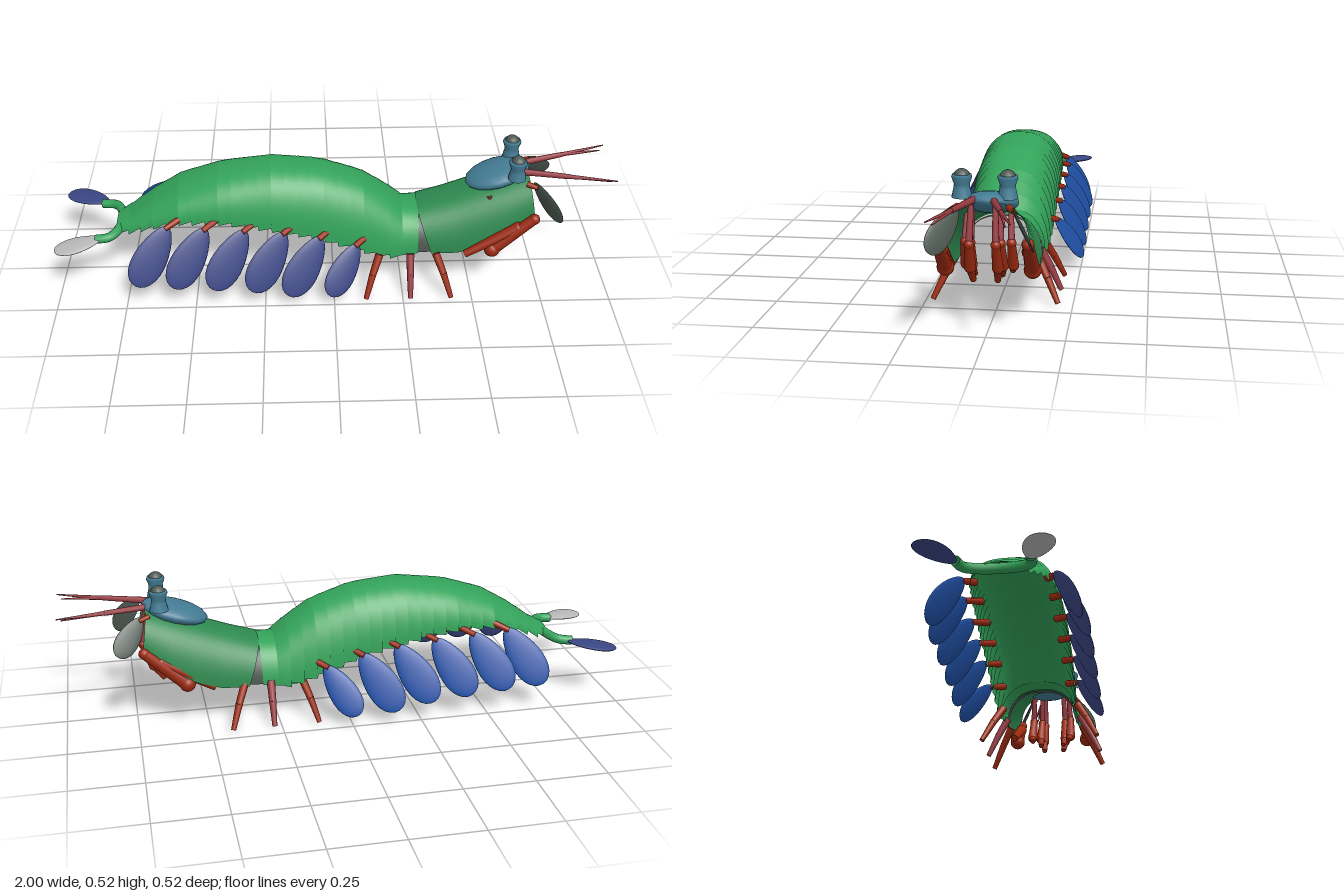
import * as THREE from 'three';

const mat = (name, color) => {
  const m = new THREE.MeshStandardMaterial({ color });
  m.name = name;
  return m;
};
const V = (x, y, z) => new THREE.Vector3(x, y, z);

export function createModel() {
  const model = new THREE.Group();
  const bodyGreen = mat('bodyGreen', 0x33a35a);
  const headGreen = mat('headGreen', 0x2e8a50);
  const darkGrey = mat('darkGrey', 0x4c5850);
  const brightBlue = mat('brightBlue', 0x2050a5);
  const dullBlue = mat('dullBlue', 0x3a4684);
  const paleGrey = mat('paleGrey', 0xb8b8b8);
  const teal = mat('teal', 0x437c94);
  const clawRed = mat('clawRed', 0x9c2a10);
  const maroon = mat('maroon', 0x963a40);
  [bodyGreen, headGreen, darkGrey].forEach((m) => { m.side = THREE.DoubleSide; });

  const add = (name, geo, material) => {
    const mesh = new THREE.Mesh(geo, material);
    mesh.name = name;
    model.add(mesh);
    return mesh;
  };
  // tapered rod from a to b
  const rod = (name, a, b, ra, rb, material) => {
    const d = b.clone().sub(a);
    const m = add(name, new THREE.CylinderGeometry(rb, ra, d.length(), 10), material);
    m.position.copy(a).addScaledVector(d, 0.5);
    m.quaternion.setFromUnitVectors(V(0, 1, 0), d.normalize());
    return m;
  };
  const ball = (name, p, r, material, scale = [1, 1, 1]) => {
    const m = add(name, new THREE.SphereGeometry(r, 16, 12), material);
    m.position.copy(p);
    m.scale.set(...scale);
    return m;
  };
  // flat pear-shaped leaf, broader near the tip
  const leaf = (name, base, tip, wide, halfWidth, thick, material) => {
    const geo = new THREE.SphereGeometry(1, 20, 14);
    const p = geo.attributes.position;
    for (let i = 0; i < p.count; i++) p.setX(i, p.getX(i) * (1 + 0.25 * p.getY(i)));
    const along = tip.clone().sub(base);
    const half = along.length() / 2;
    along.normalize();
    const x = wide.clone().addScaledVector(along, -wide.dot(along)).normalize();
    const n = x.clone().cross(along);
    const mtx = new THREE.Matrix4().makeBasis(
      x.multiplyScalar(halfWidth), along.multiplyScalar(half), n.multiplyScalar(thick));
    mtx.setPosition(base.clone().add(tip).multiplyScalar(0.5));
    geo.applyMatrix4(mtx);
    geo.computeVertexNormals();
    return add(name, geo, material);
  };
  // arched half-shell lofted over sections [topX, topY, bottomX, bottomY, halfWidth]
  const shell = (name, sections, material) => {
    const N = 24, pos = [], idx = [];
    sections.forEach(([tx, ty, bx, by, w], r) => {
      for (let j = 0; j <= N; j++) {
        const t = (j / N) * Math.PI, c = Math.cos(t);
        const s = Math.pow(Math.max(0, Math.sin(t)), 0.95);
        pos.push(bx + (tx - bx) * s, by + (ty - by) * s, w * Math.sign(c) * Math.pow(Math.abs(c), 0.8));
        if (r && j < N) {
          const a = (r - 1) * (N + 1) + j, b = a + N + 1;
          idx.push(a, b, a + 1, b, b + 1, a + 1);
        }
      }
    });
    const geo = new THREE.BufferGeometry();
    geo.setAttribute('position', new THREE.Float32BufferAttribute(pos, 3));
    geo.setIndex(idx);
    geo.computeVertexNormals();
    return add(name, geo, material);
  };

  // abdomen: overlapping bands along a humped back
  const keys = [
    [-0.79, 0.235, 0.205, 0.06], [-0.74, 0.26, 0.22, 0.085], [-0.66, 0.32, 0.255, 0.11],
    [-0.55, 0.385, 0.29, 0.135], [-0.4, 0.435, 0.295, 0.147], [-0.22, 0.46, 0.265, 0.153],
    [-0.05, 0.445, 0.225, 0.153], [0.1, 0.395, 0.165, 0.15], [0.19, 0.335, 0.135, 0.145], [0.25, 0.285, 0.13, 0.14],
  ];
  const at = (x) => {
    let i = 0;
    while (i < keys.length - 2 && x > keys[i + 1][0]) i++;
    const a = keys[i], b = keys[i + 1], f = (x - a[0]) / (b[0] - a[0]);
    return a.map((v, k) => v + (b[k] - v) * f);
  };
  const bands = [], count = 22, step = 1.04 / count;
  for (let i = 0; i < count; i++) {
    const x0 = -0.79 + i * step;
    const [, t0, b0, w0] = at(x0), [, t1, b1, w1] = at(x0 + step);
    bands.push([x0 + 0.002, t0, x0 + 0.002, b0 - 0.008, w0 + 0.004]);
    bands.push([x0 + step, t1, x0 + step, b1 + 0.006, w1 - 0.002]);
  }
  shell('abdomen', bands, bodyGreen);

  // neck, joint and carapace
  shell('neck', [[0.24, 0.285, 0.17, 0.135, 0.136], [0.27, 0.28, 0.24, 0.13, 0.135],
    [0.31, 0.282, 0.305, 0.14, 0.136]], bodyGreen);
  shell('neckJoint', [[0.30, 0.275, 0.30, 0.142, 0.134], [0.32, 0.275, 0.36, 0.145, 0.134]], darkGrey);
  shell('carapace', [[0.305, 0.285, 0.355, 0.14, 0.14], [0.4, 0.315, 0.45, 0.145, 0.144],
    [0.5, 0.352, 0.54, 0.175, 0.145], [0.6, 0.39, 0.63, 0.225, 0.142],
    [0.7, 0.425, 0.72, 0.3, 0.132]], headGreen);

  // head shield
  ball('headShield', V(0.595, 0.396, 0), 1, teal, [0.12, 0.036, 0.088]).rotation.z = 0.3;

  // paddles along both sides, with their stalks
  const paddleX = [-0.59, -0.455, -0.315, -0.175, -0.045, 0.085];
  const paddleY = [0.285, 0.285, 0.275, 0.262, 0.24, 0.205];
  paddleX.forEach((x, i) => {
    for (const s of [1, -1]) {
      const y = paddleY[i], z = i === 0 ? 0.145 : 0.16;
      const size = i === 5 ? 0.84 : 1;
      leaf('paddle', V(x, y, s * z), V(x - 0.12 * size, y - 0.19 * size, s * (z + 0.1)),
        V(0.19, -0.12, 0), 0.06 * size, 0.01, s > 0 ? dullBlue : brightBlue);
      rod('paddleStalk', V(x + 0.05, y + 0.02, s * 0.12), V(x - 0.01, y - 0.005, s * (z + 0.008)), 0.013, 0.01, clawRed);
    }
  });

  // tail fork and fan leaves
  const fork = new THREE.CatmullRomCurve3([V(-0.86, 0.205, 0.105), V(-0.81, 0.21, 0.1),
    V(-0.78, 0.217, 0.06), V(-0.77, 0.22, 0), V(-0.78, 0.217, -0.06),
    V(-0.81, 0.21, -0.11), V(-0.86, 0.205, -0.125)]);
  add('tailFork', new THREE.TubeGeometry(fork, 32, 0.017, 10), bodyGreen);
  leaf('leftTailLeaf', V(-0.84, 0.208, 0.1), V(-1, 0.195, 0.165), V(0.35, 0, 1), 0.046, 0.01, paleGrey);
  leaf('rightTailLeaf', V(-0.84, 0.208, -0.13), V(-1, 0.198, -0.215), V(0.45, 0, -1), 0.046, 0.01, dullBlue);

  const off = 0.013;
  for (const s of [1, -1]) {
    const z = (v) => off + s * v;
    // walking legs
    for (const [x0, x1] of [[0.165, 0.115], [0.277, 0.277], [0.37, 0.425]]) {
      const m = x0 === 0.277 ? maroon : clawRed;
      const hip = V(x0, 0.15, z(0.14)), knee = V((x0 + x1) / 2, 0.085, z(0.175));
      rod('legUpper', hip, knee, 0.015, 0.013, m);
      rod('legLower', knee, V(x1, 0.004, z(0.213)), 0.013, 0.009, m);
    }

    // folded striking claw
    rod('clawArm', V(0.715, 0.295, z(0.142)), V(0.58, 0.175, z(0.142)), 0.019, 0.025, clawRed);
    ball('clawTop', V(0.715, 0.295, z(0.142)), 0.02, clawRed);
    ball('clawHeel', V(0.572, 0.168, z(0.142)), 0.029, clawRed);
    rod('clawForearm', V(0.475, 0.147, z(0.142)), V(0.66, 0.255, z(0.138)), 0.014, 0.022, clawRed);
    ball('clawElbow', V(0.66, 0.255, z(0.138)), 0.022, clawRed);

    // small inner claws
    for (const [dx, zi, dy] of [[0, 0.042, 0], [-0.07, 0.048, -0.015], [-0.13, 0.075, -0.03]]) {
      const a = V(0.69 + dx, 0.41 + dy * 2, z(zi - 0.004)), b = V(0.715 + dx, 0.29 + dy, z(zi));
      const c = V(0.68 + dx, 0.205 + dy, z(zi + 0.002)), d = V(0.645 + dx, 0.152 + dy * 0.2, z(zi - 0.003));
      rod('innerArm', a, b, 0.009, 0.012, maroon);
      ball('innerJoint', b, 0.016, clawRed);
      rod('innerHand', b, c, 0.014, 0.019, clawRed);
      ball('innerHeel', c, 0.019, clawRed);
      rod('innerFinger', c, d, 0.015, 0.01, clawRed);
    }

    // eyes on flared stalks
    const ex = 0.652, ez = z(0.072);
    const profile = [[0.033, 0.425], [0.026, 0.455], [0.025, 0.468], [0.033, 0.49], [0.03, 0.498], [0, 0.5]];
    add('eyeStalk', new THREE.LatheGeometry(profile.map(([r, y]) => new THREE.Vector2(r, y)), 16), teal)
      .position.set(ex, 0, ez);
    ball('eye', V(ex, 0.489, ez), 0.027, darkGrey);

    // antennae with forked tips
    const root = V(0.68, 0.425, z(0.03)), mid = V(0.84, 0.43, z(0.075));
    rod('antenna', root, mid, 0.012, 0.009, maroon);
    rod('antennaTip', mid, V(1, 0.438, z(0.122)), 0.008, 0.002, maroon);
    rod('antennaTip', mid, V(0.985, 0.426, z(0.105)), 0.007, 0.002, maroon);
    rod('scaleStalk', V(0.69, 0.405, z(0.08)), V(0.725, 0.4, z(0.1)), 0.011, 0.008, clawRed);
  }

  // antennal scales
  leaf('leftScale', V(0.715, 0.41, 0.09), V(0.81, 0.285, 0.165), V(0.45, 0.35, 0.7), 0.042, 0.006, darkGrey);
  leaf('rightScale', V(0.715, 0.41, -0.08), V(0.805, 0.3, -0.155), V(0.8, 0.4, 0), 0.04, 0.006, darkGrey);
  return model;
}
